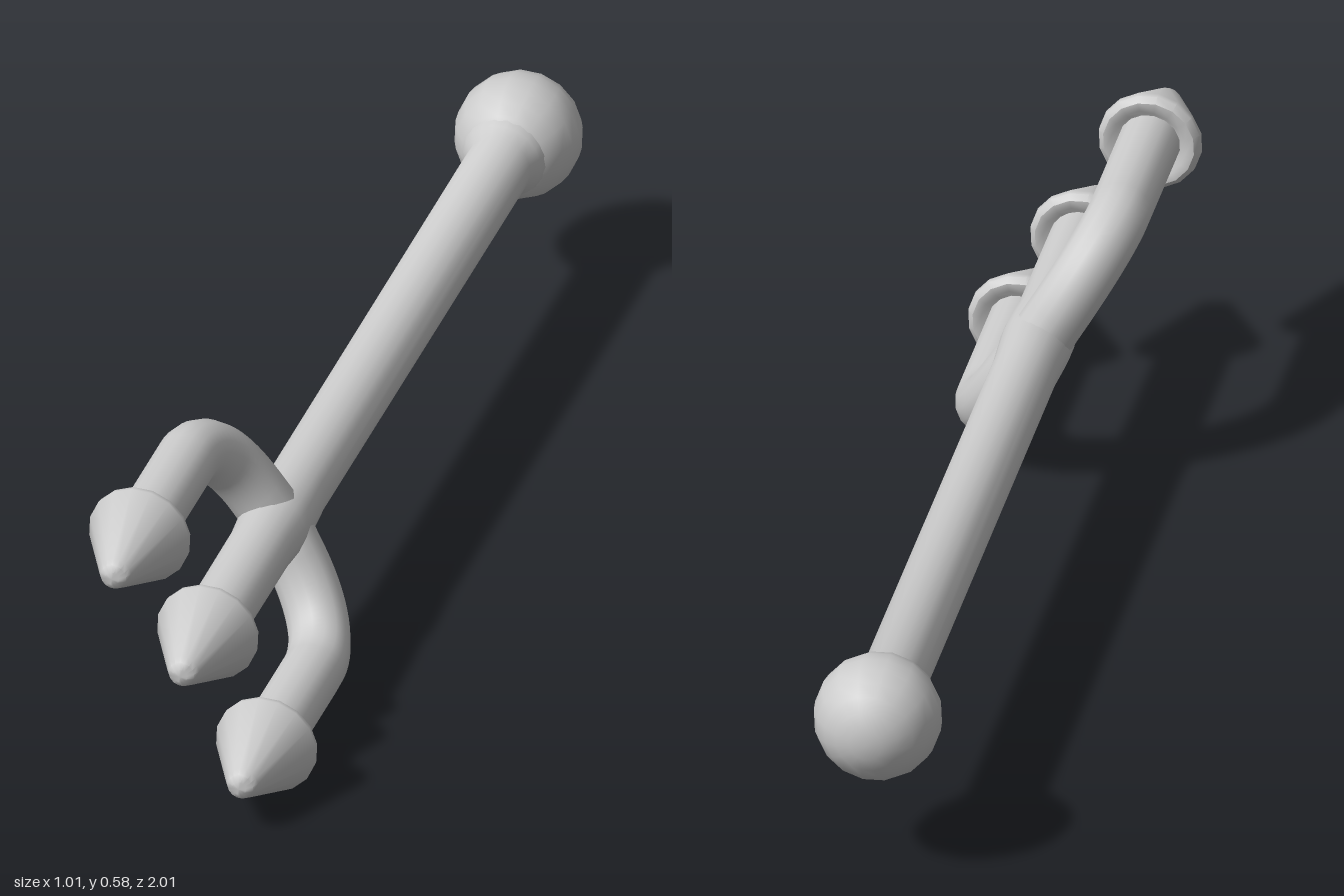
import * as THREE from 'three';
import { toCreasedNormals } from 'three/addons/utils/BufferGeometryUtils.js';

const material = new THREE.MeshStandardMaterial({ color: 0xcccccc });

function addPart(parent, name, geometry) {
  const mesh = new THREE.Mesh(geometry, material);
  mesh.name = name;
  parent.add(mesh);
  return mesh;
}

// Solid of revolution about z, from [radius, z] pairs running towards +z
function turned(profile, sides) {
  const points = profile.map(([r, z]) => new THREE.Vector2(r, z));
  return toCreasedNormals(new THREE.LatheGeometry(points, sides).rotateX(Math.PI / 2), 0.7);
}

export function createModel() {
  const model = new THREE.Group();
  model.name = 'trident';

  // Local frame: z runs along the shaft from the pommel, x lies in the plane of the prongs
  const trident = new THREE.Group();
  trident.name = 'tridentBody';
  trident.position.set(0.393, 0.293, -0.887);
  trident.rotation.set(0, Math.atan2(-0.381, 0.925), Math.atan2(0.195, -0.118));
  model.add(trident);

  // Pommel ball
  addPart(trident, 'pommel', new THREE.SphereGeometry(0.115, 16, 12).rotateX(Math.PI / 2));

  // Shaft, flared where it meets the ball, running on as the middle prong
  addPart(trident, 'shaft', turned(
    [[0.08, 0.075], [0.072, 0.098], [0.06, 0.118], [0.059, 1.3], [0.064, 1.39], [0.064, 1.43], [0.058, 1.5], [0.057, 1.8]], 20));

  // Barbed heads: bevelled rim, cone and rounded tip
  const headGeometry = turned(
    [[0, 0.006], [0.06, 0.006], [0.068, 0], [0.083, 0], [0.093, 0.01], [0.094, 0.02],
      [0.03, 0.158], [0.024, 0.17], [0.013, 0.177], [0, 0.18]], 16);
  addPart(trident, 'middleHead', headGeometry).position.z = 1.788;

  // Curved outer prongs, one on each side
  for (const side of [1, -1]) {
    const label = side > 0 ? 'upper' : 'lower';
    const at = (x, z) => new THREE.Vector3(side * x, 0, z);
    const path = new THREE.CurvePath();
    path.add(new THREE.LineCurve3(at(0, 1.4), at(0.07, 1.412)));
    path.add(new THREE.CubicBezierCurve3(at(0.07, 1.412), at(0.155, 1.426), at(0.228, 1.475), at(0.228, 1.565)));
    path.add(new THREE.LineCurve3(at(0.228, 1.565), at(0.228, 1.825)));
    addPart(trident, label + 'Prong', new THREE.TubeGeometry(path, 40, 0.056, 16));
    addPart(trident, label + 'Head', headGeometry).position.copy(at(0.228, 1.815));
  }

  return model;
}
